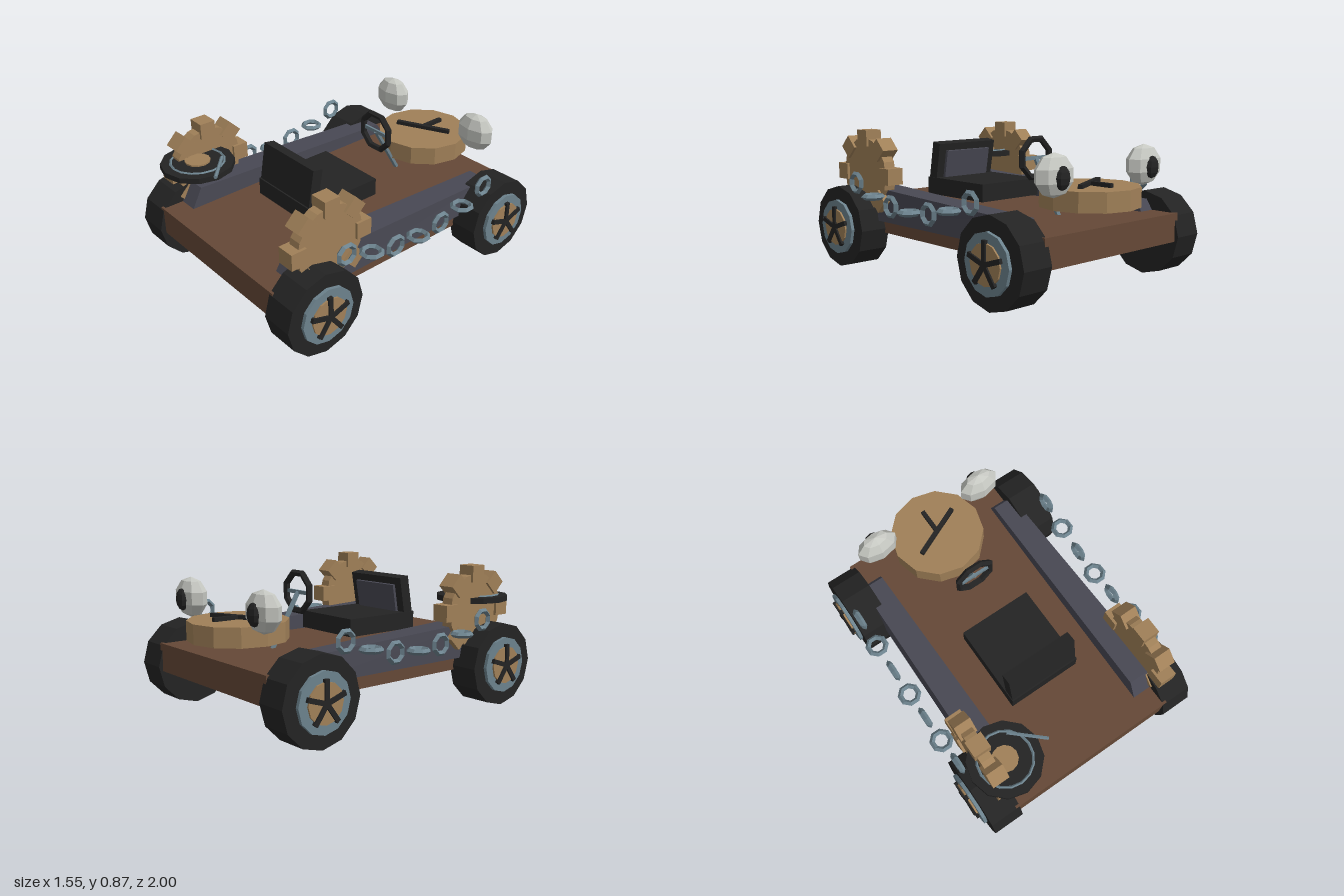
import * as THREE from 'three';

const mat = (name, color, extra) =>
  Object.assign(new THREE.MeshStandardMaterial({ color, flatShading: true }), { name });
const brown = mat('wood brown', 0x654836);
const tan = mat('brass tan', 0xa08058);
const black = mat('rubber black', 0x232323);
const slate = mat('slate', 0x484853);
const steel = mat('blue steel', 0x6c828d);
const pale = mat('lamp grey', 0xc6c8c2);

function add(parent, name, geo, material, x = 0, y = 0, z = 0) {
  const m = new THREE.Mesh(geo, material);
  m.name = name;
  m.position.set(x, y, z);
  parent.add(m);
  return m;
}
const box = (w, h, d) => new THREE.BoxGeometry(w, h, d);
const disc = (r, h, n = 12) => new THREE.CylinderGeometry(r, r, h, n);

// Bar between two points
function bar(parent, name, a, b, r, material) {
  const p = new THREE.Vector3(...a), q = new THREE.Vector3(...b);
  const m = add(parent, name, disc(r, p.distanceTo(q), 6), material);
  m.position.copy(p).lerp(q, 0.5);
  m.quaternion.setFromUnitVectors(new THREE.Vector3(0, 1, 0), q.sub(p).normalize());
  return m;
}

// Wheel with axle along x; s is the outward side
function makeWheel(s, z) {
  const g = new THREE.Group();
  g.name = 'wheel';
  const layer = (name, r, from, to, m) =>
    add(g, name, disc(r, to - from).rotateZ(Math.PI / 2), m, s * (from + to) / 2);
  layer('tyre', 0.257, 0.535, 0.732, black);
  layer('rim', 0.172, 0.72, 0.753, steel);
  layer('hub', 0.116, 0.74, 0.764, tan);
  for (let i = 0; i < 5; i++) {
    const spoke = box(0.02, 0.13, 0.028).translate(0, 0.065, 0).rotateX(i * Math.PI * 0.4);
    add(g, 'wheelSpoke', spoke, black, s * 0.765);
  }
  g.position.set(0, 0.258, z);
  return g;
}

// Tapered side rail: wider and longer at the foot, higher at the back
function railGeometry(s) {
  const geo = box(1, 1, 1), p = geo.attributes.position;
  for (let i = 0; i < p.count; i++) {
    const inner = p.getX(i) * s < 0, top = p.getY(i) > 0, back = p.getZ(i) > 0;
    const x = inner ? (back ? 0.41 : 0.426) + (top ? 0.008 : 0)
      : (back ? 0.605 : 0.585) - (top ? 0.01 : 0);
    const y = top ? (back ? 0.523 : 0.465) : 0.31;
    const z = back ? (top ? 0.76 : 0.88) : (top ? -0.7 : -0.8);
    p.setXYZ(i, s * x, y, z);
  }
  geo.computeVertexNormals();
  return geo;
}

// Gear with axle along x
function makeGear() {
  const g = new THREE.Group();
  g.name = 'gear';
  add(g, 'gearBody', disc(0.225, 0.075, 16).rotateZ(Math.PI / 2), tan);
  for (let i = 0; i < 8; i++)
    add(g, 'gearTooth', box(0.108, 0.1, 0.1).translate(0, 0.223, 0).rotateX(i * Math.PI / 4), tan);
  return g;
}

// Sagging chain with links turned alternately
function makeChain() {
  const g = new THREE.Group();
  g.name = 'chain';
  for (let i = 0; i < 7; i++) {
    const t = (i - 3) / 3;
    const link = new THREE.TorusGeometry(0.056, 0.017, 4, 8).rotateZ(Math.PI / 8);
    if (i % 2) link.rotateX(Math.PI / 2); else link.rotateY(Math.PI / 2);
    add(g, 'chainLink', link, steel, 0, 0.43 + 0.12 * t * t, 0.037 + t * 0.539);
  }
  return g;
}

export function createModel() {
  const car = new THREE.Group();
  car.name = 'car';
  add(car, 'chassis', box(1.12, 0.172, 1.875), brown, 0, 0.316, 0.027);

  for (const s of [-1, 1]) {
    car.add(makeWheel(s, -0.68), makeWheel(s, 0.742));
    add(car, 'sideRail', railGeometry(s), slate);

    const gear = makeGear();
    gear.position.set(s * 0.58, 0.597, 0.612);
    car.add(gear);

    const chain = makeChain();
    chain.position.x = s * 0.704;
    car.add(chain);

    // Lamp with dark lens
    const lamp = new THREE.SphereGeometry(1, 8, 5).scale(0.139, 0.121, 0.077);
    add(car, 'headlamp', lamp, pale, s * 0.375, 0.694, -0.79);
    const lens = new THREE.SphereGeometry(1, 8, 6).scale(0.05, 0.067, 0.035);
    add(car, 'lampLens', lens, black, s * 0.375, 0.685, -0.85);
  }

  // Seat
  add(car, 'seatBase', box(0.47, 0.108, 0.525), black, 0, 0.505, 0.197);
  const rest = new THREE.Group();
  rest.name = 'seatBack';
  add(rest, 'backrest', box(0.46, 0.29, 0.068), black);
  add(rest, 'backrestPad', box(0.35, 0.22, 0.02), slate, 0, -0.01, -0.042);
  rest.position.set(0, 0.638, 0.402);
  rest.rotation.x = -0.17;
  car.add(rest);

  // Steering
  const ring = new THREE.TorusGeometry(0.12, 0.021, 5, 8).rotateZ(Math.PI / 8);
  add(car, 'steeringWheel', ring, black, 0, 0.72, -0.28);
  add(car, 'steeringCrossbar', box(0.22, 0.022, 0.015), steel, 0, 0.72, -0.28);
  bar(car, 'steeringColumn', [0, 0.72, -0.28], [0, 0.39, -0.475], 0.016, steel);

  // Clock-like bonnet disc with hands
  add(car, 'bonnetDisc', disc(0.293, 0.115), tan, 0, 0.543, -0.707);
  add(car, 'shortHand', box(0.026, 0.024, 0.165), black, 0, 0.612, -0.788);
  add(car, 'longHand', box(0.36, 0.024, 0.027), black, 0, 0.612, -0.707).rotation.y = 0.44;

  // Turntable
  const tx = -0.48, tz = 0.73;
  add(car, 'record', disc(0.223, 0.034), black, tx, 0.655, tz);
  const groove = new THREE.TorusGeometry(0.162, 0.008, 4, 16).rotateX(Math.PI / 2);
  add(car, 'recordRing', groove, steel, tx, 0.673, tz);
  add(car, 'recordLabel', disc(0.078, 0.012), tan, tx, 0.676, tz);
  bar(car, 'toneArm', [-0.39, 0.692, 0.615], [-0.212, 0.692, 0.778], 0.011, steel);
  return car;
}
